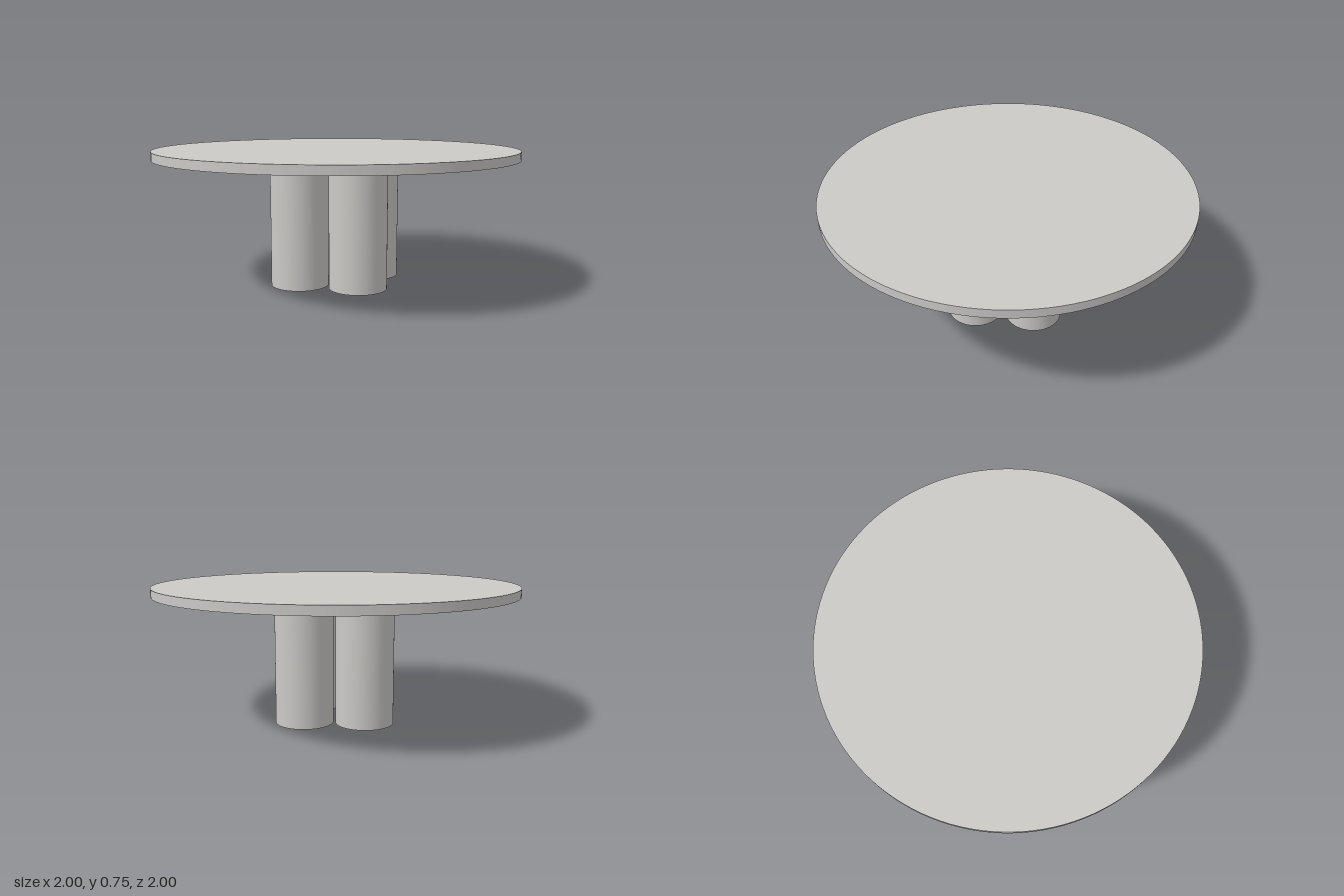
import * as THREE from 'three';

export function createModel() {
  const group = new THREE.Group();
  group.name = 'roundTable';

  const stone = new THREE.MeshStandardMaterial({ color: 0xcccac7 });
  stone.name = 'paleGreyStone';

  const height = 0.745, topThickness = 0.047;
  const legHeight = height - topThickness;
  const legRadius = 0.158, legOffset = 0.232;

  // Thin round tabletop
  const top = new THREE.Mesh(new THREE.CylinderGeometry(1, 1, topThickness, 128), stone);
  top.name = 'tabletop';
  top.position.y = height - topThickness / 2;
  group.add(top);

  // Four thick round legs clustered around the centre
  const legGeometry = new THREE.CylinderGeometry(legRadius, legRadius, legHeight, 64);
  ['frontLeg', 'leftLeg', 'backLeg', 'rightLeg'].forEach((name, i) => {
    const angle = (i * Math.PI) / 2;
    const leg = new THREE.Mesh(legGeometry, stone);
    leg.name = name;
    leg.position.set(Math.sin(angle) * legOffset, legHeight / 2, Math.cos(angle) * legOffset);
    group.add(leg);
  });

  return group;
}
